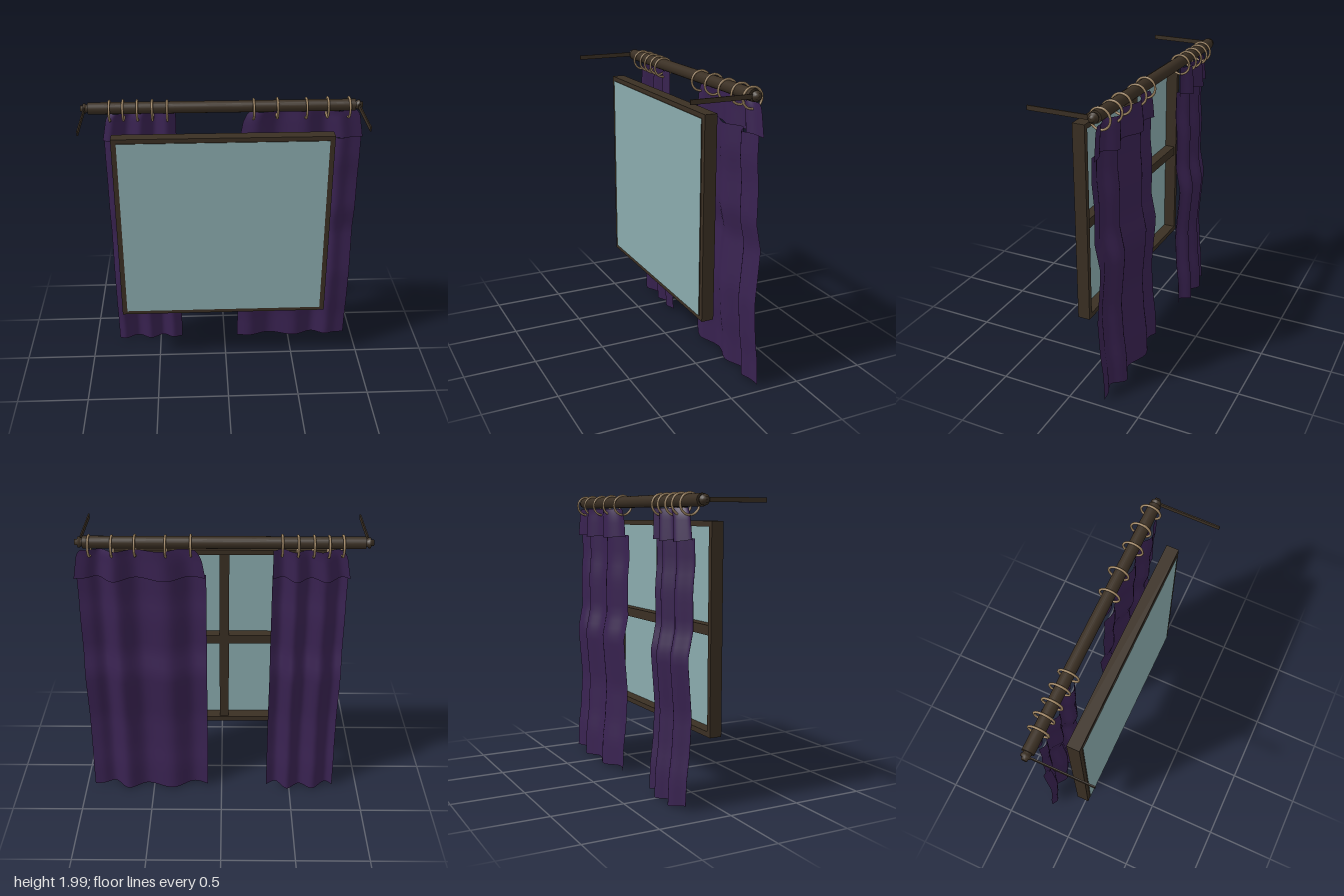
import * as THREE from 'three';

const mat = (name, color, side = THREE.FrontSide) => {
  const m = new THREE.MeshStandardMaterial({ color, side });
  m.name = name;
  return m;
};

export function createModel() {
  const wood = mat('dark wood', 0x3a2f23);
  const glass = mat('glass', 0x8aabad);
  const cloth = mat('purple cloth', 0x392251, THREE.DoubleSide);
  const brass = mat('ring tan', 0x9c8260);
  const model = new THREE.Group();
  model.name = 'curtainedWindow';

  const add = (parent, name, geo, material, x = 0, y = 0, z = 0) => {
    const mesh = new THREE.Mesh(geo, material);
    mesh.name = name;
    mesh.position.set(x, y, z);
    parent.add(mesh);
    return mesh;
  };
  const group = (name) => {
    const g = new THREE.Group();
    g.name = name;
    model.add(g);
    return g;
  };

  // Window: outer frame, crossed bars behind one sheet of glass
  const win = group('window');
  win.position.set(-0.0175, 1.1325, 0);
  const W = 1.475, H = 1.375, bar = 0.035;
  const rect = (path, w, h) => path
    .moveTo(-w / 2, -h / 2).lineTo(w / 2, -h / 2).lineTo(w / 2, h / 2).lineTo(-w / 2, h / 2).closePath();
  const outline = rect(new THREE.Shape(), W, H);
  outline.holes.push(rect(new THREE.Path(), W - 2 * bar, H - 2 * bar));
  add(win, 'frame', new THREE.ExtrudeGeometry(outline, { depth: 0.085, bevelEnabled: false }), wood, 0, 0, -0.01);
  add(win, 'verticalBar', new THREE.BoxGeometry(0.065, H - 0.04, 0.07), wood, 0, 0, 0.038);
  add(win, 'horizontalBar', new THREE.BoxGeometry(W - 0.04, 0.065, 0.07), wood, 0, 0, 0.038);
  add(win, 'glassPane', new THREE.BoxGeometry(1.405, 1.315, 0.007),
    [wood, wood, wood, wood, glass, glass], 0, 0, 0.0775);

  // Rod with turned ends
  const rod = group('curtainRod');
  rod.position.set(-0.016, 1.945, -0.17);
  add(rod, 'pole', new THREE.CylinderGeometry(0.04, 0.04, 1.792, 24), wood).rotation.z = Math.PI / 2;
  const finial = [[0.027, 0], [0.027, 0.012], [0.034, 0.017], [0.034, 0.03], [0.02, 0.035], [0.02, 0.05], [0, 0.05]]
    .map(([r, y]) => new THREE.Vector2(r, y));
  for (const s of [-1, 1]) {
    add(rod, 'rodEnd', new THREE.LatheGeometry(finial, 16), wood, s * 0.896).rotation.z = -s * Math.PI / 2;
    add(rod, 'wallBracket', new THREE.BoxGeometry(0.009, 0.03, 0.435), wood, s * 0.918, 0.001, 0.2195);
  }

  // Rings hang loosely, each a little off the rod's axis
  const rings = group('curtainRings');
  const ringSpots = [[-0.77, -0.175], [-0.68, -0.183], [-0.585, -0.178], [-0.485, -0.178], [-0.385, -0.168],
    [0.195, -0.17], [0.355, -0.182], [0.55, -0.173], [0.695, -0.184], [0.84, -0.18]];
  for (const [x, z] of ringSpots) {
    add(rings, 'ring', new THREE.TorusGeometry(0.067, 0.008, 8, 28), brass, x, 1.923, z).rotation.y = Math.PI / 2;
  }

  // A cloth sheet: place(u, v) gives the point at u across and v up
  const sheet = (nu, nv, place) => {
    const geo = new THREE.PlaneGeometry(1, 1, nu, nv);
    const p = geo.attributes.position;
    for (let i = 0; i < p.count; i++) {
      p.setXYZ(i, ...place(p.getX(i) + 0.5, p.getY(i) + 0.5));
    }
    geo.computeVertexNormals();
    return geo;
  };
  // Straight interpolation in a list of [key, value]
  const lerpIn = (list, k) => {
    for (let i = 1; i < list.length; i++) {
      const [a, va] = list[i - 1], [b, vb] = list[i];
      if (k <= b) return THREE.MathUtils.mapLinear(Math.max(k, a), a, b, va, vb);
    }
    return list[list.length - 1][1];
  };

  // Sway of the cloth in z against height
  const sway = [[0, -0.23], [0.2, -0.222], [0.35, -0.203], [0.6, -0.188], [0.97, -0.217],
    [1.15, -0.181], [1.4, -0.184], [1.55, -0.17], [1.72, -0.173]];

  const curtain = (name, folds, left, right) => {
    const g = group(name);
    const x0 = folds[0][0], x1 = folds[folds.length - 1][0];
    const curve = new THREE.CatmullRomCurve3(folds.map(([x, z]) => new THREE.Vector3(x, 0, z)));
    const soft = curve.getPoints(60).map((p) => [p.x, p.z]);
    const fold = (u) => lerpIn(soft, x0 + u * (x1 - x0));
    add(g, 'drape', sheet(54, 30, (u, v) => {
      const hem = 0.018 + fold(u) * 0.2 + 0.005 * Math.sin(u * 9);
      const y = hem + v * (1.715 - hem);
      return [x0 + u * (x1 - x0), y, lerpIn(sway, y) + fold(u)];
    }), cloth);
    // Heading flap, its sides drawn in towards the top
    add(g, 'heading', sheet(54, 8, (u, v) => {
      const y = 1.7 + 0.2 * v + (1 - v) * fold(u) * 0.2;
      const a = lerpIn(left, v), b = lerpIn(right, v);
      return [a + u * (b - a), y, -0.198 + 0.004 * v + fold(u) * (1 - 0.15 * v)];
    }), cloth);
  };
  curtain('rightCurtain',
    [[-0.82, 0.005], [-0.77, 0.03], [-0.67, -0.035], [-0.575, 0.018], [-0.48, -0.036], [-0.4, 0.03], [-0.33, 0]],
    [[0, -0.832], [0.8, -0.802], [1, -0.775]], [[0, -0.33], [1, -0.33]]);
  curtain('leftCurtain',
    [[0.1, 0.005], [0.2, 0.03], [0.355, -0.032], [0.55, 0.02], [0.69, -0.037], [0.79, 0.032], [0.87, 0.006], [0.94, 0]],
    [[0, 0.105], [0.6, 0.125], [0.85, 0.145], [1, 0.17]], [[0, 0.955], [0.85, 0.925], [1, 0.9]]);

  return model;
}
